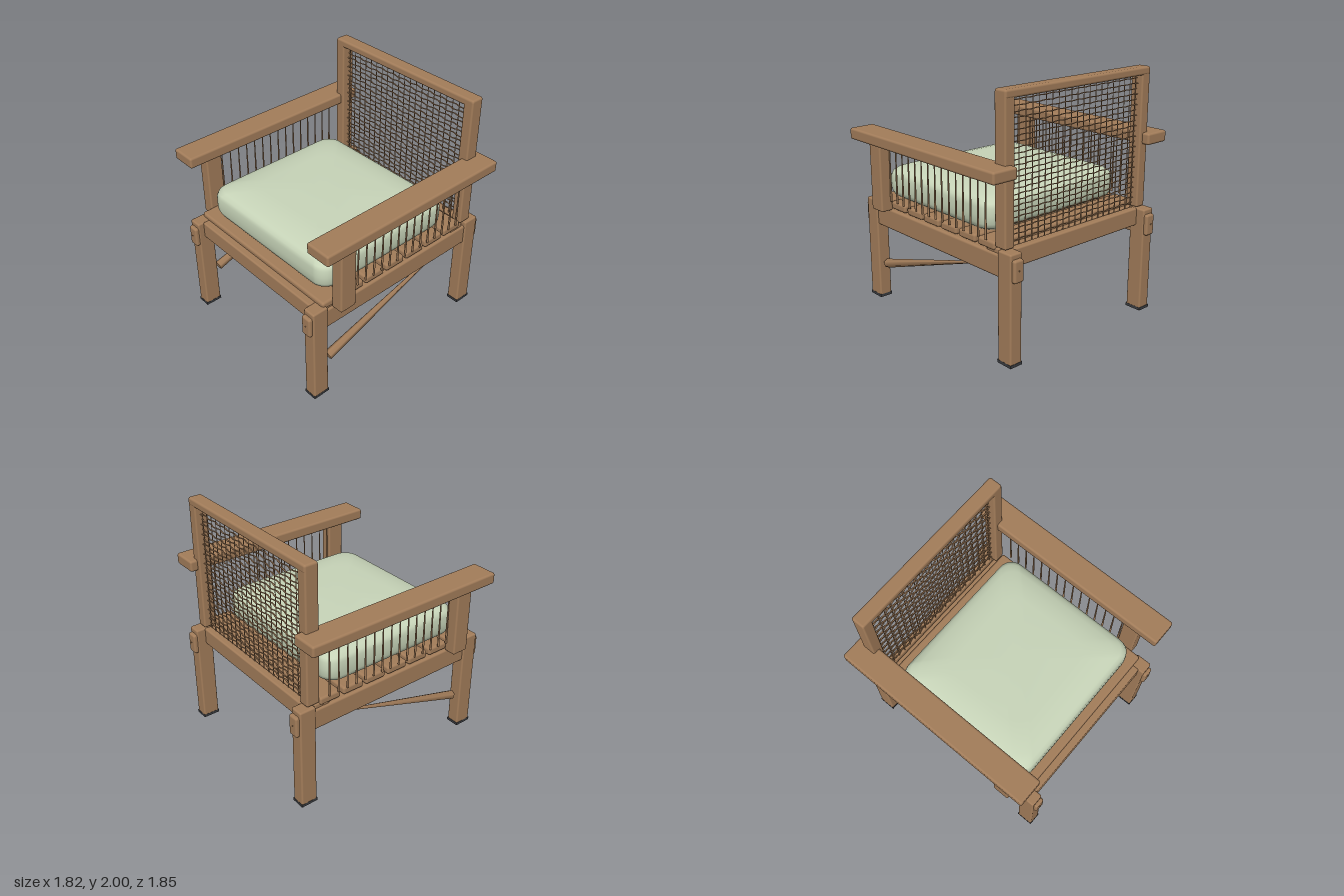
import * as THREE from 'three';
import { RoundedBoxGeometry } from 'three/addons/geometries/RoundedBoxGeometry.js';

export function createModel() {
  const chair = new THREE.Group();
  chair.name = 'armchair';
  const wood = new THREE.MeshStandardMaterial({ color: 0xa37d5a });
  const fabric = new THREE.MeshStandardMaterial({ color: 0xc8d5b9 });
  const rubber = new THREE.MeshStandardMaterial({ color: 0x3a3c40 });
  wood.name = 'wood';
  fabric.name = 'sage fabric';
  rubber.name = 'dark rubber';

  function add(name, geometry, material, parent = chair) {
    const mesh = new THREE.Mesh(geometry, material);
    mesh.name = name;
    parent.add(mesh);
    return mesh;
  }
  // Softened timber given by its limits on each axis
  function timber(name, [x0, x1], [y0, y1], [z0, z1], radius = 0.014) {
    const mesh = add(name, new RoundedBoxGeometry(x1 - x0, y1 - y0, z1 - z0, 2, radius), wood);
    mesh.position.set((x0 + x1) / 2, (y0 + y1) / 2, (z0 + z1) / 2);
  }
  // Straight wooden rod between two points, with a radius at each end
  function rod(name, a, b, ra, rb, sides = 6, parent = chair) {
    const from = new THREE.Vector3(...a), to = new THREE.Vector3(...b);
    const dir = to.clone().sub(from);
    const mesh = add(name, new THREE.CylinderGeometry(rb, ra, dir.length(), sides), wood, parent);
    mesh.position.copy(from).add(to).multiplyScalar(0.5);
    mesh.quaternion.setFromUnitVectors(new THREE.Vector3(0, 1, 0), dir.normalize());
  }
  const span = (s, a, b) => (s > 0 ? [a, b] : [-b, -a]);

  // Hollow foot cap
  const footShape = new THREE.Shape([[-0.056, -0.072], [0.056, -0.072], [0.056, 0.072], [-0.056, 0.072]]
    .map(p => new THREE.Vector2(...p)));
  footShape.holes.push(new THREE.Path([[-0.035, -0.05], [-0.035, 0.05], [0.035, 0.05], [0.035, -0.05]]
    .map(p => new THREE.Vector2(...p))));
  const footGeometry = new THREE.ExtrudeGeometry(footShape, { depth: 0.024, bevelEnabled: false });
  footGeometry.rotateX(-Math.PI / 2);

  for (const s of [1, -1]) {
    const side = s > 0 ? 'left' : 'right';
    // Legs, feet and pegs at each end of the side rail
    for (const e of [1, -1]) {
      const end = e > 0 ? 'Front' : 'Back';
      timber(side + end + 'Leg', span(s, 0.66, 0.77), [0.012, 0.87], span(e, 0.75, 0.89));
      add(side + end + 'Foot', footGeometry, rubber).position.set(s * 0.715, 0, e * 0.82);
      rod(side + end + 'Peg', [s * 0.715, 0.75, e * 0.9], [s * 0.715, 0.75, e * 0.925], 0.016, 0.004, 4);
    }
    timber(side + 'SideRail', span(s, 0.667, 0.757), [0.656, 0.83], [-0.92, 0.92], 0.018);
    timber(side + 'ArmPost', span(s, 0.745, 0.85), [0.83, 1.40], [0.55, 0.695]);
    timber(side + 'Armrest', span(s, 0.69, 0.91), [1.39, 1.483], [-0.875, 0.875], 0.018);
    timber(side + 'BackPost', span(s, 0.66, 0.75), [0.875, 1.99], [-0.813, -0.70]);

    // Tapered diagonal brace
    rod(side + 'Brace', [s * 0.715, 0.31, 0.708], [s * 0.715, 0.672, -0.44], 0.039, 0.009);

    // Cords below the armrest
    const cords = new THREE.Group();
    cords.name = side + 'ArmCords';
    chair.add(cords);
    for (let i = 0; i < 15; i++) {
      const z = 0.535 - i * 0.083;
      rod('armCord', [s * 0.765, 0.91, z + 0.004], [s * 0.765, 1.395, z], 0.009, 0.004, 6, cords);
    }
  }

  // Cross rails
  timber('frontRail', [-0.67, 0.67], [0.725, 0.87], [0.775, 0.84]);
  timber('backRail', [-0.67, 0.67], [0.725, 0.87], [-0.815, -0.75]);
  timber('rearSeatSupport', [-0.74, 0.74], [0.815, 0.865], [-0.74, -0.60]);
  timber('frontSeatSupport', [-0.74, 0.74], [0.815, 0.865], [0.60, 0.745]);
  timber('backTopRail', [-0.75, 0.75], [1.935, 2.0], [-0.816, -0.70], 0.018);

  // Seat slats
  for (let i = 0; i < 7; i++) {
    const z = 0.688 - i * 0.215;
    timber('seatSlat', [-0.75, 0.75], [0.84, 0.905], [z - 0.095, z + 0.095], 0.02);
  }

  // Woven back: upright cords with cross cords passing alternately in front and behind
  const weave = new THREE.Group();
  weave.name = 'wovenBack';
  chair.add(weave);
  const pitch = 0.064;
  for (let i = -10; i <= 10; i++) {
    rod('uprightCord', [i * pitch, 0.87, -0.76], [i * pitch, 1.94, -0.76], 0.005, 0.003, 5, weave);
  }
  const crossCords = [1, -1].map(phase => {
    const points = [];
    for (let i = -10; i <= 10; i++) {
      points.push(new THREE.Vector3(i * pitch * 1.04, 0, i % 2 === 0 ? phase * 0.007 : -phase * 0.007));
    }
    // Slightly flattened strand
    return new THREE.TubeGeometry(new THREE.CatmullRomCurve3(points), 60, 0.006, 6).scale(1, 0.7, 1);
  });
  for (let row = 0; row < 25; row++) {
    add('crossCord', crossCords[row % 2], wood, weave).position.set(0, 0.91 + row * 0.0418, -0.76);
  }

  // Cushion built from rounded-rectangle rings: [height, inset]
  const rings = [[0.904, 0.55], [0.904, 0.11], [0.911, 0.05], [0.932, 0.018], [0.97, 0.003], [1.03, 0],
    [1.09, 0.002], [1.122, 0.012], [1.147, 0.04], [1.165, 0.09], [1.182, 0.17], [1.192, 0.27], [1.196, 0.55]];
  const steps = 8, count = 4 * (steps + 1);
  const positions = [], index = [];
  for (const [y, inset] of rings) {
    const hx = 0.69 - inset, hz = 0.648 - inset, r = Math.min(0.12, hz * 0.6);
    for (let c = 0; c < 4; c++) {
      const sx = c === 0 || c === 3 ? 1 : -1, sz = c < 2 ? 1 : -1;
      for (let k = 0; k <= steps; k++) {
        const a = (c + k / steps) * Math.PI / 2;
        positions.push(sx * (hx - r) + Math.cos(a) * r, y, 0.074 + sz * (hz - r) + Math.sin(a) * r);
      }
    }
  }
  for (let j = 0; j < rings.length - 1; j++) {
    for (let i = 0; i < count; i++) {
      const a = j * count + i, b = j * count + (i + 1) % count;
      index.push(a, a + count, b, b, a + count, b + count);
    }
  }
  // Close the underside and the crown
  const bottom = positions.length / 3, last = (rings.length - 1) * count;
  positions.push(0, 0.904, 0.074, 0, 1.197, 0.074);
  for (let i = 0; i < count; i++) {
    const n = (i + 1) % count;
    index.push(bottom, i, n, bottom + 1, last + n, last + i);
  }
  const cushion = new THREE.BufferGeometry();
  cushion.setAttribute('position', new THREE.Float32BufferAttribute(positions, 3));
  cushion.setIndex(index);
  cushion.computeVertexNormals();
  add('seatCushion', cushion, fabric);

  return chair;
}
